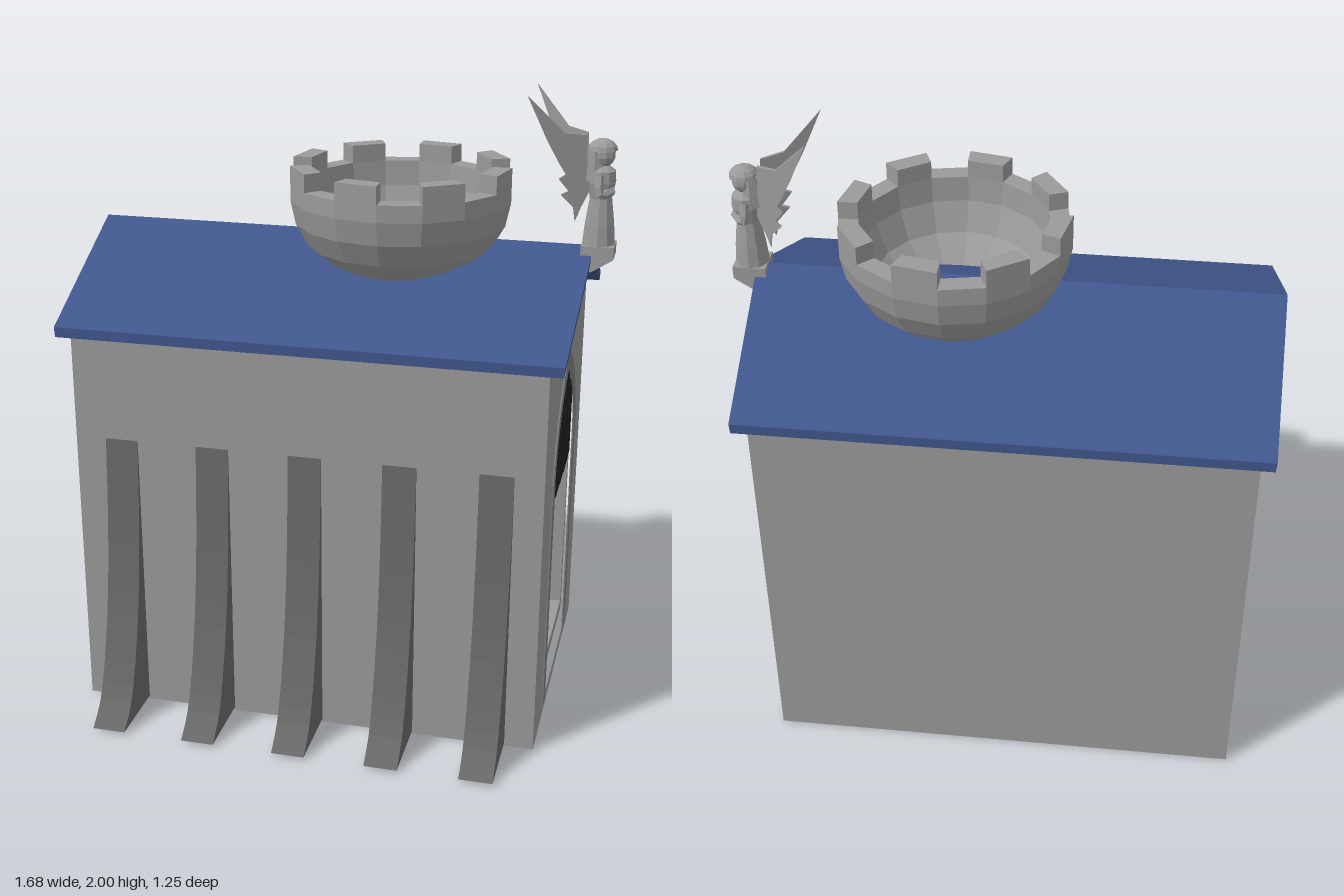
import * as THREE from 'three';

const mat = (name, color) => {
  const m = new THREE.MeshStandardMaterial({ color });
  m.name = name;
  return m;
};

const V2 = (p) => new THREE.Vector2(p[0], p[1]);
const CZ = -0.105; // z of the ridge line

// Extrude a (z, y) outline along x from x0 to x1
function extrudeX(outline, x0, x1, holes = []) {
  const flip = ([z, y]) => new THREE.Vector2(-z, y);
  const shape = new THREE.Shape(outline.map(flip));
  for (const h of holes) shape.holes.push(new THREE.Path(h.map(flip)));
  const g = new THREE.ExtrudeGeometry(shape, { depth: x1 - x0, bevelEnabled: false });
  return g.rotateY(Math.PI / 2).translate(x0, 0, 0);
}

function box(x0, x1, y0, y1, z0, z1) {
  return new THREE.BoxGeometry(x1 - x0, y1 - y0, z1 - z0)
    .translate((x0 + x1) / 2, (y0 + y1) / 2, (z0 + z1) / 2);
}

function flat(g) {
  const f = g.index ? g.toNonIndexed() : g;
  f.computeVertexNormals();
  return f;
}

// Pointed arch outline in (z, y)
function arch(half, base, spring, apex, cz, cy) {
  const side = new THREE.QuadraticBezierCurve(V2([half, spring]), V2([cz, cy]), V2([0, apex])).getPoints(8);
  const right = side.map((p) => [CZ + p.x, p.y]);
  const left = side.slice(0, -1).reverse().map((p) => [CZ - p.x, p.y]);
  return [[CZ + half, base], ...right, ...left, [CZ - half, base]];
}

export function createModel() {
  const stone = mat('stone', 0x9a9a9a);
  const darkStone = mat('dark stone', 0x696969);
  const frameStone = mat('frame stone', 0x7c7c7c);
  const blue = mat('roof blue', 0x40568c);
  const tan = mat('plaster tan', 0x85754f);
  const iron = mat('black iron', 0x1e1e1e);

  const model = new THREE.Group();
  const add = (name, geo, material, parent = model) => {
    const m = new THREE.Mesh(geo, material);
    m.name = name;
    parent.add(m);
    return m;
  };
  const group = (name) => {
    const g = new THREE.Group();
    g.name = name;
    model.add(g);
    return g;
  };

  // Hollow hall: floor, long walls, gable ends
  const X0 = -0.785, X1 = 0.71, Z0 = -0.597, Z1 = 0.39, T = 0.03;
  const gable = [[Z1, 0], [Z1, 1.277], [CZ, 1.495], [Z0, 1.277], [Z0, 0]];
  const doorHole = arch(0.247, 0.04, 0.84, 1.112, 0.2, 1.03);
  add('floor', box(X0 + T, X1 - T, 0, 0.04, Z0 + T, Z1 - T), stone);
  add('frontWall', box(X0 + T, X1 - T, 0, 1.28, Z1 - T, Z1), stone);
  add('backWall', box(X0 + T, X1 - T, 0, 1.28, Z0, Z0 + T), stone);
  add('rearGable', extrudeX(gable, X0, X0 + T), stone);
  add('doorGable', extrudeX(gable, X1 - T, X1, [doorHole]), stone);

  // Door surround
  const surround = arch(0.298, 0.04, 0.83, 1.177, 0.235, 1.08);
  const inner = arch(0.247, 0.041, 0.84, 1.112, 0.2, 1.03);
  // Open at the bottom: outer edge out, inner edge back
  add('doorSurround', extrudeX([...surround, ...inner.reverse()], X1, X1 + 0.005), frameStone);

  // Portcullis: spiked uprights and cross bars
  const gate = group('portcullis');
  const gx = X1 - 0.02;
  [1.0, 1.09, 1.12, 1.09, 1.0].forEach((top, i) => {
    const z = CZ + (2 - i) * 0.109;
    add('gateBar', flat(new THREE.CylinderGeometry(0.018, 0.018, top - 0.74, 8).translate(gx, (top + 0.74) / 2, z)), iron, gate);
    add('gateSpike', flat(new THREE.CylinderGeometry(0.018, 0.003, 0.08, 8).translate(gx, 0.70, z)), iron, gate);
  });
  for (const [y, half] of [[0.86, 0.245], [0.97, 0.215], [1.08, 0.1]]) {
    add('gateCrossBar', box(gx - 0.012, gx + 0.012, y - 0.015, y + 0.015, CZ - half, CZ + half), iron, gate);
  }

  // Plaster patch in the gable with a ragged lower edge
  const patch = [[0.225, 1.315], [0.02, 1.405], [-0.03, 1.44], [-0.18, 1.44], [-0.23, 1.405], [-0.445, 1.31]];
  for (let i = 0; i <= 18; i++) patch.push([-0.445 + i * 0.0372, 1.283 + 0.006 * Math.sin(i * 2.1)]);
  add('gablePlaster', extrudeX(patch, X1, X1 + 0.004), tan);

  // Roof, its ends leaning slightly outward toward the ridge
  const roof = extrudeX([[0.417, 1.297], [CZ, 1.527], [-0.622, 1.297], [-0.622, 1.265], [CZ, 1.492], [0.417, 1.265]], -0.825, 0.753);
  const rp = roof.attributes.position;
  for (let i = 0; i < rp.count; i++) {
    const lean = (rp.getY(i) - 1.265) / 0.26 * 0.018;
    rp.setX(i, rp.getX(i) + Math.sign(rp.getX(i)) * lean);
  }
  add('roof', flat(roof), blue);

  // Flared buttresses along the front
  const flare = new THREE.SplineCurve([[0.625, 0.01], [0.54, 0.1], [0.46, 0.34], [0.415, 0.62], [0.392, 0.93]].map(V2))
    .getPoints(14).map((p) => [p.x, p.y]);
  const buttresses = group('buttresses');
  for (let i = 0; i < 5; i++) {
    const x = -0.632 + i * 0.2993;
    add('buttress', extrudeX([...flare, [0.38, 0.93], [0.38, 0.01]], x - 0.053, x + 0.053), darkStone, buttresses);
  }

  // Round turret bowl with eight merlons
  const turret = group('turret');
  turret.position.set(0.155, 0, CZ);
  const R = 0.353, r = 0.292, rim = 1.70, top = 1.757;
  const profile = [[0, 1.37], [0.12, 1.385], [0.22, 1.43], [0.295, 1.495], [0.337, 1.57], [R, 1.645], [R, rim],
    [r, rim], [0.285, 1.62], [0.247, 1.527], [0.17, 1.458], [0.08, 1.425], [0, 1.42]].map(V2);
  add('bowl', flat(new THREE.LatheGeometry(profile, 16)), stone, turret);
  const step = Math.PI / 8;
  for (let i = 0; i < 8; i++) {
    const a = step * (2 * i + 1), b = a + step;
    const at = (rad, t) => new THREE.Vector2(rad * Math.sin(t), -rad * Math.cos(t));
    const g = new THREE.ExtrudeGeometry(new THREE.Shape([at(R, a), at(R, b), at(r, b), at(r, a)]), { depth: top - rim, bevelEnabled: false });
    add('merlon', g.rotateX(-Math.PI / 2).translate(0, rim, 0), stone, turret);
  }

  // Winged statue on the ridge end, facing +x
  const statue = group('statue');
  const sx = 0.785;
  const plinth = new THREE.ExtrudeGeometry(
    new THREE.Shape([[0.735, 1.535], [0.837, 1.535], [0.837, 1.495], [0.77, 1.452], [0.735, 1.46]].map(V2)),
    { depth: 0.1, bevelEnabled: false }).translate(0, 0, CZ - 0.05);
  add('plinth', plinth, stone, statue);
  const robe = [[0, 1.53], [0.052, 1.53], [0.046, 1.6], [0.035, 1.68], [0.045, 1.73], [0.042, 1.765], [0.016, 1.785], [0, 1.785]].map(V2);
  add('robe', flat(new THREE.LatheGeometry(robe, 10).translate(sx, 0, CZ)), stone, statue);
  add('head', flat(new THREE.SphereGeometry(0.036, 10, 7).scale(1, 1.15, 0.95).translate(sx + 0.002, 1.815, CZ)), stone, statue);
  add('hair', flat(new THREE.SphereGeometry(0.044, 10, 4, 0, Math.PI * 2, 0, Math.PI / 2).scale(1.05, 0.8, 1).translate(sx - 0.002, 1.828, CZ)), stone, statue);
  add('hairBack', flat(new THREE.CylinderGeometry(0.03, 0.036, 0.1, 8).translate(sx - 0.022, 1.785, CZ)), stone, statue);

  const wing = [[0.563, 2.0], [0.67, 1.885], [0.735, 1.875], [0.74, 1.8], [0.755, 1.71], [0.725, 1.645], [0.712, 1.608],
    [0.705, 1.655], [0.668, 1.695], [0.69, 1.705], [0.66, 1.745], [0.68, 1.757], [0.655, 1.80], [0.62, 1.87]].map(V2);
  for (const s of [1, -1]) {
    // Upper and lower arm, folded forward
    const arm = new THREE.CatmullRomCurve3([[-0.005, 1.755, 0.04], [0.0, 1.7, 0.055], [0.035, 1.705, 0.015]]
      .map(([x, y, z]) => new THREE.Vector3(sx + x, y, CZ + s * z)));
    add('arm', flat(new THREE.TubeGeometry(arm, 6, 0.014, 6)), stone, statue);
    // Thin wing sheared so that it spreads toward its tip
    const g = new THREE.ExtrudeGeometry(new THREE.Shape(wing), { depth: 0.01, bevelEnabled: false }).translate(0, 0, -0.005);
    const p = g.attributes.position;
    for (let i = 0; i < p.count; i++) p.setZ(i, p.getZ(i) + CZ + s * (0.02 + (0.74 - p.getX(i)) * 0.52));
    add(s > 0 ? 'rightWing' : 'leftWing', flat(g), stone, statue);
  }
  return model;
}
